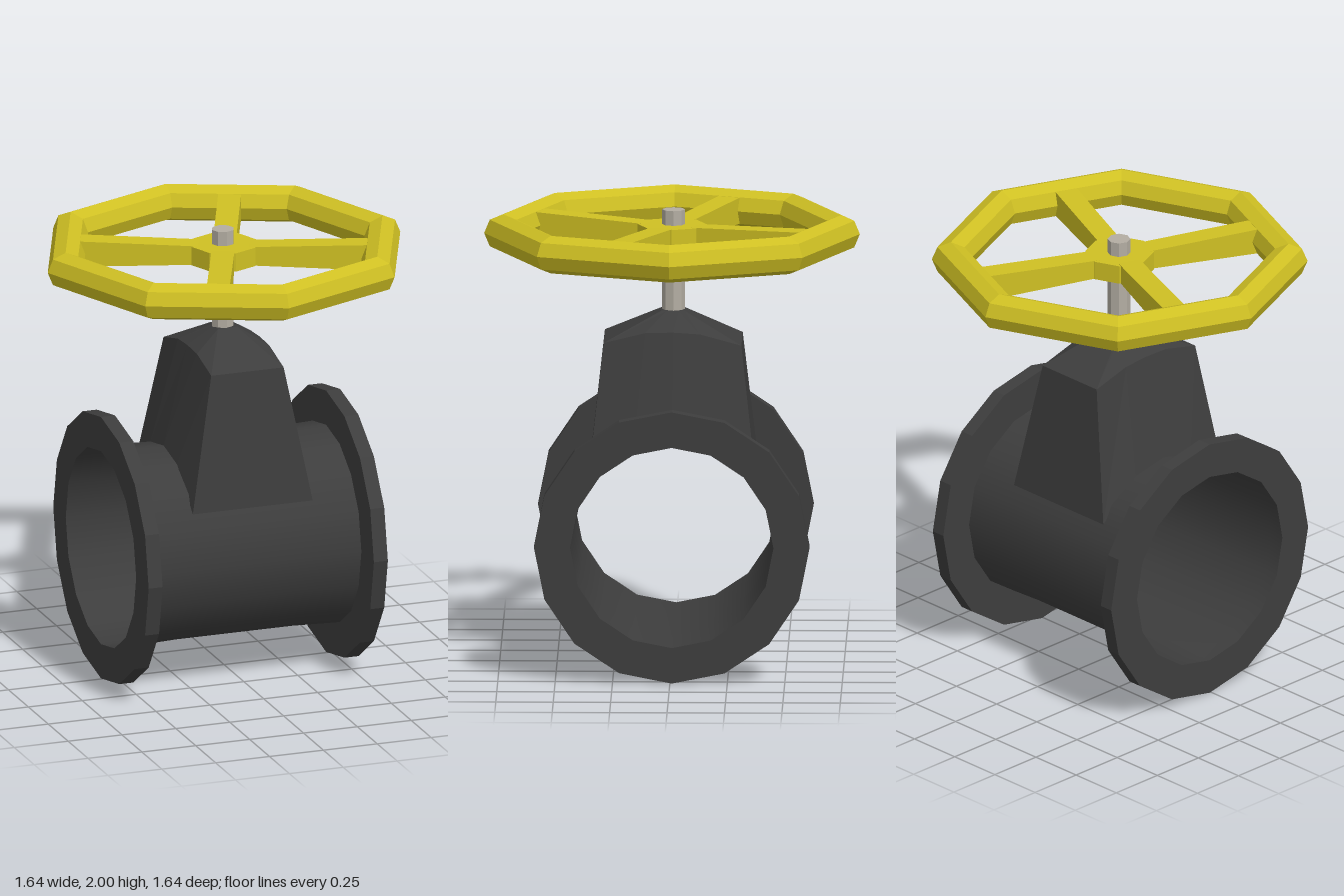
import * as THREE from 'three';

const iron = new THREE.MeshStandardMaterial({ color: 0x3d3d3d, side: THREE.DoubleSide });
iron.name = 'darkIron';
const steel = new THREE.MeshStandardMaterial({ color: 0xb3ada2 });
steel.name = 'steel';
const yellow = new THREE.MeshStandardMaterial({ color: 0xcfc023 });
yellow.name = 'yellowPaint';

const SIDES = 16;

// Split shared corners so every face gets its own normal
function faceted(geometry) {
  const g = geometry.index ? geometry.toNonIndexed() : geometry;
  g.computeVertexNormals();
  return g;
}

function add(parent, name, geometry, material) {
  const mesh = new THREE.Mesh(geometry, material);
  mesh.name = name;
  parent.add(mesh);
  return mesh;
}

const lathe = (pts) =>
  new THREE.LatheGeometry(pts.map(([r, y]) => new THREE.Vector2(r, y)), SIDES).rotateZ(-Math.PI / 2);

// Skin a stack of closed loops that have equal point counts
function loft(loops) {
  const n = loops[0].length;
  const index = [];
  for (let k = 0; k < loops.length - 1; k++) {
    for (let i = 0; i < n; i++) {
      const a = k * n + i, b = k * n + ((i + 1) % n);
      index.push(a, b, b + n, a, b + n, a + n);
    }
  }
  const g = new THREE.BufferGeometry();
  g.setAttribute('position', new THREE.Float32BufferAttribute(loops.flat(2), 3));
  g.setIndex(index);
  return faceted(g);
}

export function createModel() {
  const model = new THREE.Group();
  model.name = 'gateValve';

  // Pipe body with a slightly waisted middle, open at both ends
  const body = new THREE.Group();
  body.name = 'body';
  body.position.set(-0.013, 0.6, -0.008);
  model.add(body);
  add(body, 'pipe', lathe([[0.443, -0.555], [0.443, -0.49], [0.435, -0.27], [0.435, 0.27], [0.443, 0.49], [0.443, 0.555]]), iron);

  // End flanges
  for (const side of [-1, 1]) {
    const flange = faceted(lathe([[0.443, -0.0325], [0.6, -0.0325], [0.6, 0.0325], [0.443, 0.0325]]));
    add(body, side > 0 ? 'leftFlange' : 'rightFlange', flange, iron).position.x = side * 0.5225;
  }

  // Bonnet: foot follows the pipe, shoulders are gently arched, roof narrows to the stem
  const ring = (x, zs, ys) => {
    const plus = zs.map((z, i) => [x, ys[i], z]);
    const minus = zs.map((z, i) => [-x, ys[i], z]).reverse();
    return [...plus, ...minus];
  };
  const footZ = [0.367, 0.168, 0, -0.168, -0.367];
  const footY = footZ.map((z) => 0.6 + Math.sqrt(0.436 ** 2 - z * z));
  const bonnet = loft([
    ring(0.278, footZ, footY),
    ring(0.168, [0.3, 0.12, 0, -0.12, -0.3], [1.438, 1.482, 1.485, 1.477, 1.428]),
    ring(0.045, [0.05, 0.025, 0, -0.025, -0.05], Array(5).fill(1.56)),
    ring(0, [0, 0, 0, 0, 0], Array(5).fill(1.56)),
  ]);
  add(model, 'bonnet', bonnet, iron).position.z = -0.005;

  // Stem
  const stem = faceted(new THREE.CylinderGeometry(0.05, 0.05, 0.46, 8));
  add(model, 'stem', stem, steel).position.set(-0.003, 1.77, -0.007);

  // Handwheel: eight-sided rim, hub and four tapering spokes
  const wheel = new THREE.Group();
  wheel.name = 'handwheel';
  wheel.position.y = 1.893;
  model.add(wheel);
  add(wheel, 'rim', faceted(new THREE.TorusGeometry(0.735, 0.083, 8, 8).rotateX(Math.PI / 2)), yellow);
  add(wheel, 'hub', faceted(new THREE.CylinderGeometry(0.15, 0.15, 0.084, 8)), yellow);

  for (let i = 0; i < 4; i++) {
    const spoke = new THREE.BoxGeometry(0.53, 1, 0.1).translate(0.375, 0, 0);
    const p = spoke.attributes.position;
    for (let j = 0; j < p.count; j++) {
      p.setY(j, Math.sign(p.getY(j)) * (p.getX(j) > 0.3 ? 0.058 : 0.042));
    }
    add(wheel, 'spoke', faceted(spoke), yellow).rotation.y = -Math.PI / 8 + (i * Math.PI) / 2;
  }

  return model;
}
